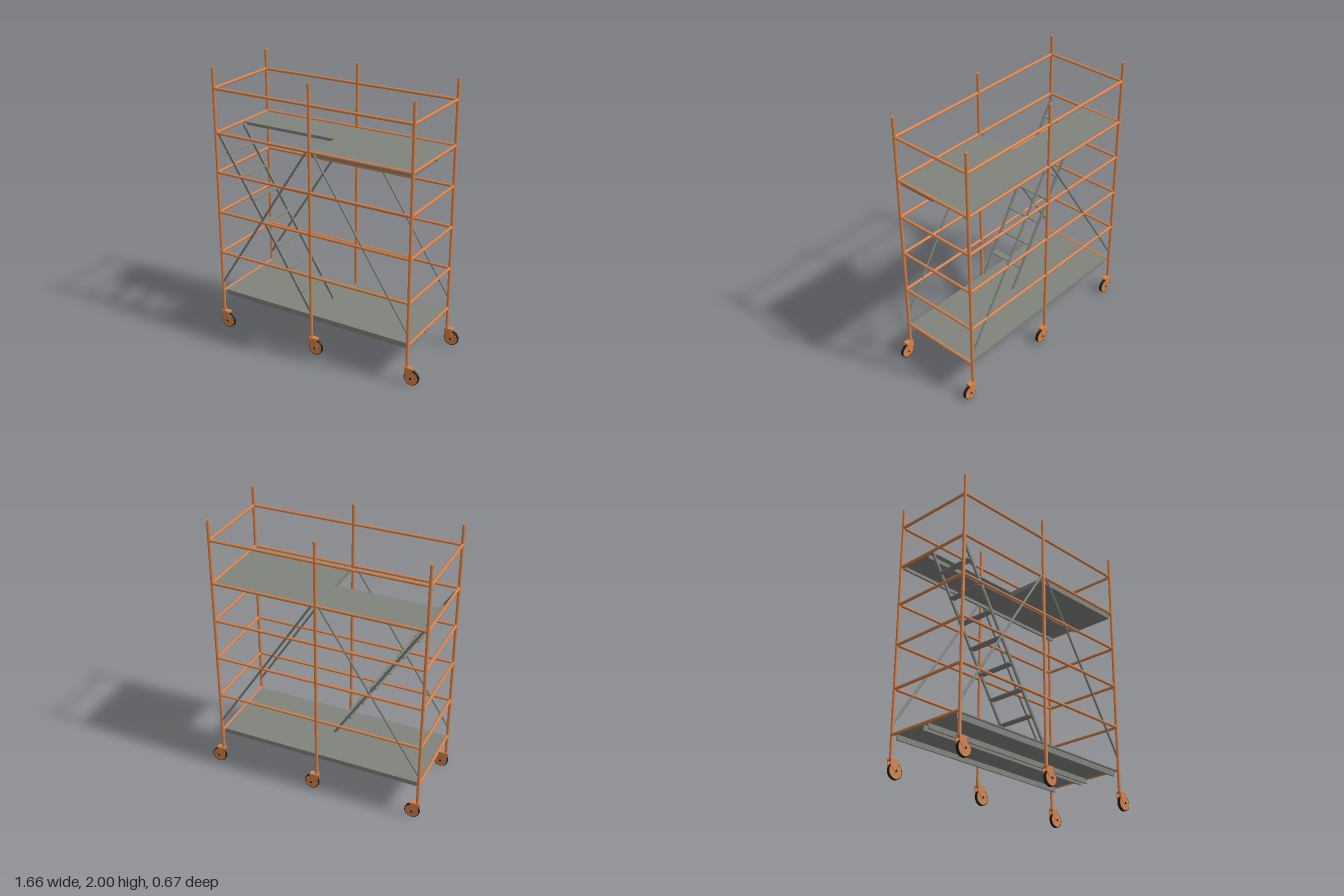
import * as THREE from 'three';

const orange = new THREE.MeshStandardMaterial({ color: 0xd4824c });
const grey = new THREE.MeshStandardMaterial({ color: 0x80837c });
const black = new THREE.MeshStandardMaterial({ color: 0x1c1c1c });

const POST_X = [-0.815, -0.037, 0.735];
const POST_Z = 0.314;
const UP = new THREE.Vector3(0, 1, 0);

function add(parent, name, geometry, material, x = 0, y = 0, z = 0) {
  const mesh = new THREE.Mesh(geometry, material);
  mesh.name = name;
  mesh.position.set(x, y, z);
  parent.add(mesh);
  return mesh;
}

// Box given by its lower and upper corners
function block(parent, name, material, [x0, y0, z0], [x1, y1, z1]) {
  return add(parent, name, new THREE.BoxGeometry(x1 - x0, y1 - y0, z1 - z0), material,
    (x0 + x1) / 2, (y0 + y1) / 2, (z0 + z1) / 2);
}

// Round bar between two points
function bar(parent, name, material, a, b, radius) {
  const from = new THREE.Vector3(...a), to = new THREE.Vector3(...b);
  const dir = to.clone().sub(from);
  const mesh = add(parent, name, new THREE.CylinderGeometry(radius, radius, dir.length(), 16), material);
  mesh.position.copy(from).add(to).multiplyScalar(0.5);
  mesh.quaternion.setFromUnitVectors(UP, dir.normalize());
  return mesh;
}

// Swivel caster, with the post axis at its origin
function makeCaster() {
  const caster = new THREE.Group();
  caster.name = 'caster';
  const wheelX = 0.037, wheelY = 0.055;
  const disc = (name, material, r, width, sides) =>
    add(caster, name, new THREE.CylinderGeometry(r, r, width, sides), material, wheelX, wheelY).rotateX(Math.PI / 2);
  disc('tire', black, 0.055, 0.02, 32);
  disc('wheelDisc', orange, 0.05, 0.024, 32);
  disc('axle', black, 0.008, 0.042, 12);
  // fork cheeks
  const cheek = new THREE.Shape();
  cheek.moveTo(-0.012, 0.13);
  cheek.lineTo(0.046, 0.13);
  cheek.lineTo(0.051, 0.055);
  cheek.absarc(wheelX, wheelY, 0.014, 0, -Math.PI * 0.75, true);
  cheek.lineTo(-0.012, 0.085);
  cheek.closePath();
  const cheekGeometry = new THREE.ExtrudeGeometry(cheek, { depth: 0.004, bevelEnabled: false, curveSegments: 8 });
  for (const z of [-0.019, 0.015]) add(caster, 'forkCheek', cheekGeometry, orange, 0, 0, z);
  block(caster, 'forkPlate', orange, [-0.013, 0.118, -0.019], [0.05, 0.132, 0.019]);
  return caster;
}

// Deck plank: a sheet with lipped legs running along its underside
function makePlank(name, x0, x1, z0, z1, top, depth, legs) {
  const plank = new THREE.Group();
  plank.name = name;
  block(plank, 'deckSheet', grey, [x0, top - 0.008, z0], [x1, top, z1]);
  for (const z of legs) {
    block(plank, 'deckLeg', grey, [x0, top - depth, z - 0.003], [x1, top - 0.008, z + 0.003]);
    const lip = z < (z0 + z1) / 2 ? 0.006 : -0.006;
    block(plank, 'deckLip', grey,
      [x0, top - depth, z - 0.003 + Math.min(lip, 0)],
      [x1, top - depth + 0.004, z + 0.003 + Math.max(lip, 0)]);
  }
  return plank;
}

// Inclined ladder between the lower deck and the hatch
function makeLadder() {
  const ladder = new THREE.Group();
  ladder.name = 'ladder';
  const a = new THREE.Vector2(-0.803, 1.515), b = new THREE.Vector2(-0.04, 0.297);
  const d = b.clone().sub(a);
  for (const z of [0.004, 0.291]) {
    const rail = add(ladder, 'ladderStringer', new THREE.BoxGeometry(d.length(), 0.018, 0.014), grey,
      (a.x + b.x) / 2, (a.y + b.y) / 2, z);
    rail.rotation.z = Math.atan2(d.y, d.x);
  }
  for (let i = 0; i < 7; i++) {
    add(ladder, 'ladderTread', new THREE.BoxGeometry(0.05, 0.008, 0.28), grey,
      -0.73 + 0.0977 * i, 1.388 - 0.1555 * i, 0.1475);
  }
  return ladder;
}

export function createModel() {
  const model = new THREE.Group();
  model.name = 'scaffoldTower';

  // Posts and casters
  for (const x of POST_X) {
    for (const z of [-POST_Z, POST_Z]) {
      bar(model, 'post', orange, [x, 0.125, z], [x, 2, z], 0.0115);
      const caster = makeCaster();
      caster.position.set(x, 0, z);
      model.add(caster);
    }
  }

  // Guard rails on the long sides and rungs across both ends
  const railHeights = [0.612, 0.932, 1.238, 1.532, 1.853];
  for (const y of railHeights) {
    for (const z of [-POST_Z, POST_Z]) {
      bar(model, 'sideRail', orange, [POST_X[0], y, z], [POST_X[2], y, z], 0.0105);
    }
  }
  for (const y of [0.293, ...railHeights]) {
    for (const x of [POST_X[0], POST_X[2]]) {
      bar(model, 'endRail', orange, [x, y, -POST_Z], [x, y, POST_Z], 0.0105);
    }
  }

  // Diagonal braces rising to the middle posts
  for (const z of [-POST_Z, POST_Z]) {
    bar(model, 'leftBrace', grey, [-0.815, 0.365, z], [-0.06, 1.532, z], 0.008);
    bar(model, 'rightBrace', grey, [0.735, 0.378, z], [-0.01, 1.532, z], 0.008);
  }

  // Lower deck
  const x0 = -0.806, x1 = 0.728;
  model.add(makePlank('lowerFrontPlank', x0, x1, 0, 0.295, 0.297, 0.047, [0.022, 0.278]));
  model.add(makePlank('lowerBackPlank', x0, x1, -0.295, 0, 0.297, 0.047, [-0.278, -0.022]));

  // Upper deck, with the hatch opening over the ladder
  model.add(makePlank('upperBackPlank', x0, x1, -0.295, 0, 1.533, 0.036, [-0.278, -0.04]));
  block(model, 'upperFrontPlank', grey, [-0.035, 1.497, 0], [x1, 1.533, 0.295]);

  model.add(makeLadder());
  return model;
}
